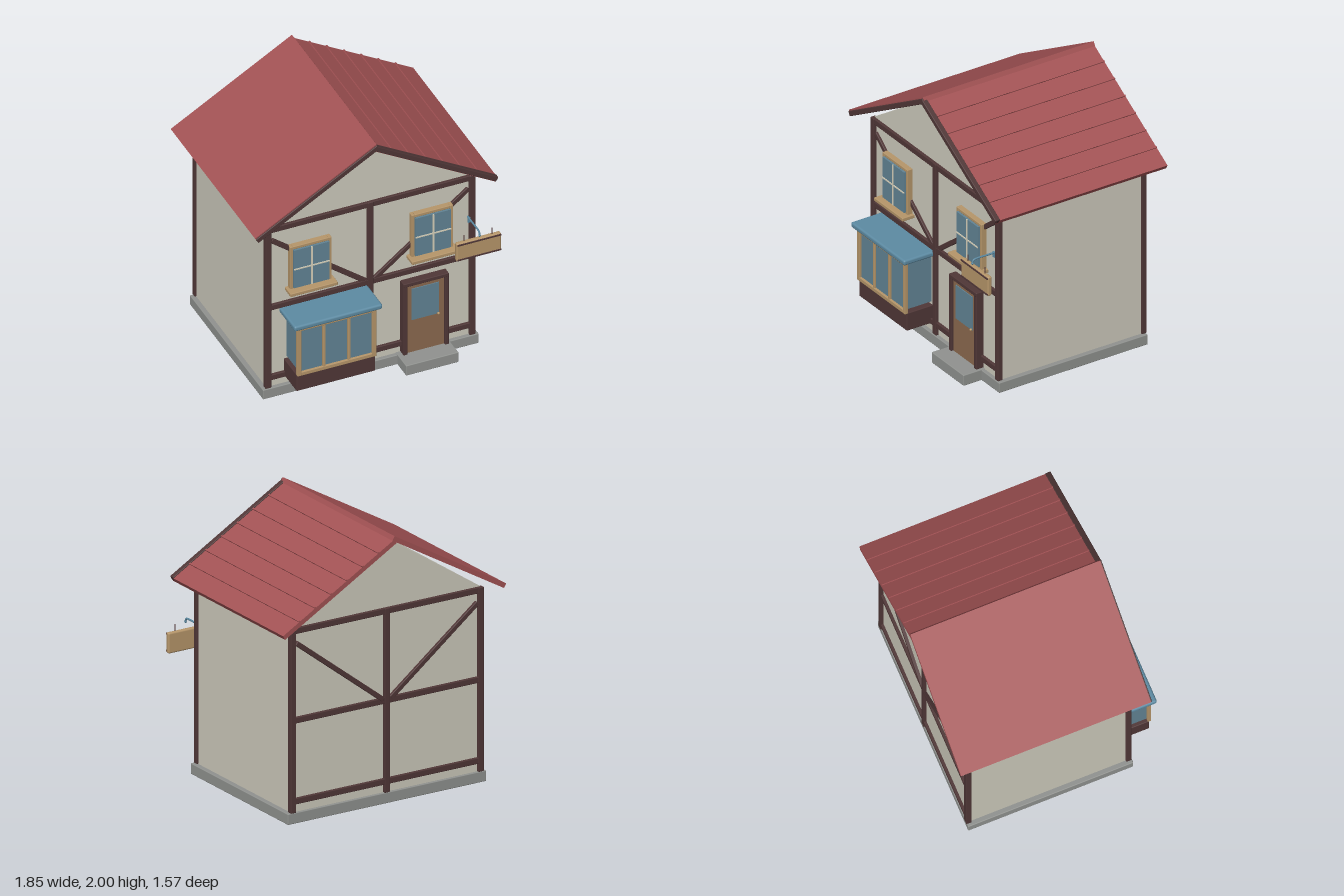
import * as THREE from 'three';
import { RoundedBoxGeometry } from 'three/addons/geometries/RoundedBoxGeometry.js';

const mat = (name, color) => Object.assign(new THREE.MeshStandardMaterial({ color }), { name });

export function createModel() {
  const plaster = mat('plaster', 0xcdcabc);
  const timber = mat('dark timber', 0x503737);
  const roofRed = mat('roof red', 0xa25254);
  const stone = mat('stone', 0x90928f);
  const tan = mat('tan wood', 0xb6966a);
  const glass = mat('glass', 0x628495);
  const doorWood = mat('door wood', 0x8c6a4f);
  const blue = mat('painted blue', 0x5d8ba3);
  const cream = mat('cream', 0xd9d3bd);

  const house = new THREE.Group();
  house.name = 'house';

  const add = (parent, name, geometry, material) => {
    const mesh = new THREE.Mesh(geometry, material);
    mesh.name = name;
    parent.add(mesh);
    return mesh;
  };
  // Box from its limits, with softened edges when r > 0
  const box = (parent, name, m, x0, x1, y0, y1, z0, z1, r = 0) => {
    const s = [x1 - x0, y1 - y0, z1 - z0];
    const g = r ? new RoundedBoxGeometry(...s, 2, r) : new THREE.BoxGeometry(...s);
    const mesh = add(parent, name, g, m);
    mesh.position.set((x0 + x1) / 2, (y0 + y1) / 2, (z0 + z1) / 2);
    return mesh;
  };
  const group = (name) => {
    const g = new THREE.Group();
    g.name = name;
    house.add(g);
    return g;
  };
  // Four rails around an opening
  const frame = (parent, name, m, x0, x1, y0, y1, z0, z1, w) => {
    box(parent, name, m, x0, x0 + w, y0, y1, z0, z1, 0.004);
    box(parent, name, m, x1 - w, x1, y0, y1, z0, z1, 0.004);
    box(parent, name, m, x0 + w, x1 - w, y1 - w, y1, z0, z1, 0.004);
    box(parent, name, m, x0 + w, x1 - w, y0, y0 + w, z0, z1, 0.004);
  };

  // Foundation and door step
  box(house, 'foundation', stone, -0.82, 0.82, 0, 0.08, -0.69, 0.55, 0.006);
  box(house, 'doorStep', stone, 0.2, 0.6, 0, 0.085, 0.5, 0.7, 0.006);

  // Walls with both gables in one solid
  const outline = new THREE.Shape([[-0.785, 0.07], [0.785, 0.07], [0.785, 1.44], [0, 1.95], [-0.785, 1.44]]
    .map(([x, y]) => new THREE.Vector2(x, y)));
  const walls = add(house, 'walls',
    new THREE.ExtrudeGeometry(outline, { depth: 1.195, bevelEnabled: false }), plaster);
  walls.position.z = -0.673;

  // Timber framing, front and back
  for (const [side, z0, z1] of [['front', 0.505, 0.545], ['back', -0.695, -0.655]]) {
    const g = group(side + 'Timbers');
    for (const x of [-0.776, 0, 0.776])
      box(g, 'post', timber, x - 0.022, x + 0.022, 0.08, 1.44, z0, z1, 0.005);
    for (const y of [0.163, 0.76, 1.42])
      box(g, 'beam', timber, -0.795, 0.795, y - 0.022, y + 0.022, z0 + 0.002, z1 - 0.002, 0.005);
    for (const s of [-1, 1]) {
      const brace = box(g, 'brace', timber, -0.455, 0.455, -0.018, 0.018, z0, z1 - 0.004, 0.005);
      brace.position.x = s * 0.39;
      brace.position.y = 1.05;
      brace.rotation.z = s * Math.atan2(0.56, 0.72);
    }
  }

  // Roof slopes, drawn level and then tilted about the ridge
  const LEN = 1.065;
  for (const s of [-1, 1]) {
    const g = group(s < 0 ? 'rightRoofSlope' : 'leftRoofSlope');
    const span = (a, b) => (s > 0 ? [a, b] : [-b, -a]);
    box(g, 'roofSlab', roofRed, ...span(0, LEN), -0.035, 0, -0.785, 0.64);
    const top = s > 0 ? 0.008 : -0.008;
    box(g, 'bargeboard', timber, ...span(0, LEN), top - 0.038, top, 0.61, 0.65, 0.005);
    if (s > 0) {
      for (let i = 1; i <= 6; i++)
        box(g, 'roofSeam', roofRed, i * 0.151 - 0.006, i * 0.151 + 0.006, -0.005, 0.008, -0.785, 0.612);
    }
    g.position.y = s > 0 ? 1.977 : 2.0;
    g.rotation.z = -s * Math.PI / 6;
  }

  // Upper windows
  for (const s of [-1, 1]) {
    const g = group(s > 0 ? 'leftWindow' : 'rightWindow');
    const c = s * 0.462;
    frame(g, 'windowFrame', tan, c - 0.158, c + 0.158, 0.885, 1.25, 0.515, 0.564, 0.024);
    box(g, 'pane', glass, c - 0.135, c + 0.135, 0.905, 1.226, 0.515, 0.578);
    box(g, 'muntin', cream, c - 0.005, c + 0.005, 0.905, 1.226, 0.575, 0.583);
    box(g, 'muntin', cream, c - 0.135, c + 0.135, 1.06, 1.07, 0.575, 0.583);
    box(g, 'sill', tan, c - 0.18, c + 0.18, 0.868, 0.895, 0.515, 0.62, 0.005);
  }

  // Shop bay window
  const bay = group('bayWindow');
  box(bay, 'bayBase', timber, -0.65, -0.05, 0.145, 0.285, 0.515, 0.738, 0.006);
  box(bay, 'bayGlass', glass, -0.63, -0.07, 0.305, 0.66, 0.515, 0.738);
  frame(bay, 'bayFrame', tan, -0.65, -0.05, 0.28, 0.692, 0.728, 0.755, 0.03);
  for (const x of [-0.445, -0.255])
    box(bay, 'bayMullion', tan, x - 0.01, x + 0.01, 0.3, 0.67, 0.73, 0.753, 0.004);
  box(bay, 'awning', blue, -0.685, -0.015, 0.69, 0.732, 0.515, 0.785, 0.015);

  // Door
  const door = group('door');
  for (const [x0, x1] of [[0.235, 0.265], [0.55, 0.58]])
    box(door, 'doorPost', timber, x0, x1, 0.082, 0.69, 0.515, 0.58, 0.005);
  box(door, 'doorLintel', timber, 0.235, 0.58, 0.66, 0.69, 0.515, 0.581, 0.005);
  box(door, 'doorLeaf', doorWood, 0.262, 0.553, 0.082, 0.665, 0.515, 0.562);
  box(door, 'doorPane', glass, 0.302, 0.51, 0.36, 0.625, 0.56, 0.568);
  add(door, 'doorKnob', new THREE.SphereGeometry(0.01, 12, 8), tan).position.set(0.503, 0.365, 0.575);

  // Hanging sign board on a curled bracket
  const sign = group('hangingSign');
  box(sign, 'signBoard', tan, 0.58, 0.92, 0.865, 1.018, 0.675, 0.71, 0.012);
  for (const y of [0.88, 1.005])
    box(sign, 'signTrim', timber, 0.585, 0.917, y - 0.005, y + 0.005, 0.708, 0.716);
  for (const x of [0.645, 0.855]) {
    const rod = add(sign, 'signRod', new THREE.CylinderGeometry(0.004, 0.004, 0.06, 8), timber);
    rod.position.set(x, 1.037, 0.692);
  }
  const path = new THREE.CatmullRomCurve3([[1.085, 0.52], [1.085, 0.6], [1.086, 0.68], [1.08, 0.716],
    [1.055, 0.725]].map(([y, z]) => new THREE.Vector3(0.748, y, z)));
  add(sign, 'signBracket', new THREE.TubeGeometry(path, 24, 0.007, 8), blue);
  add(sign, 'bracketTip', new THREE.SphereGeometry(0.009, 10, 8), blue).position.set(0.748, 1.055, 0.725);
  box(sign, 'bracketPlate', blue, 0.738, 0.758, 1.05, 1.093, 0.54, 0.55);

  return house;
}
